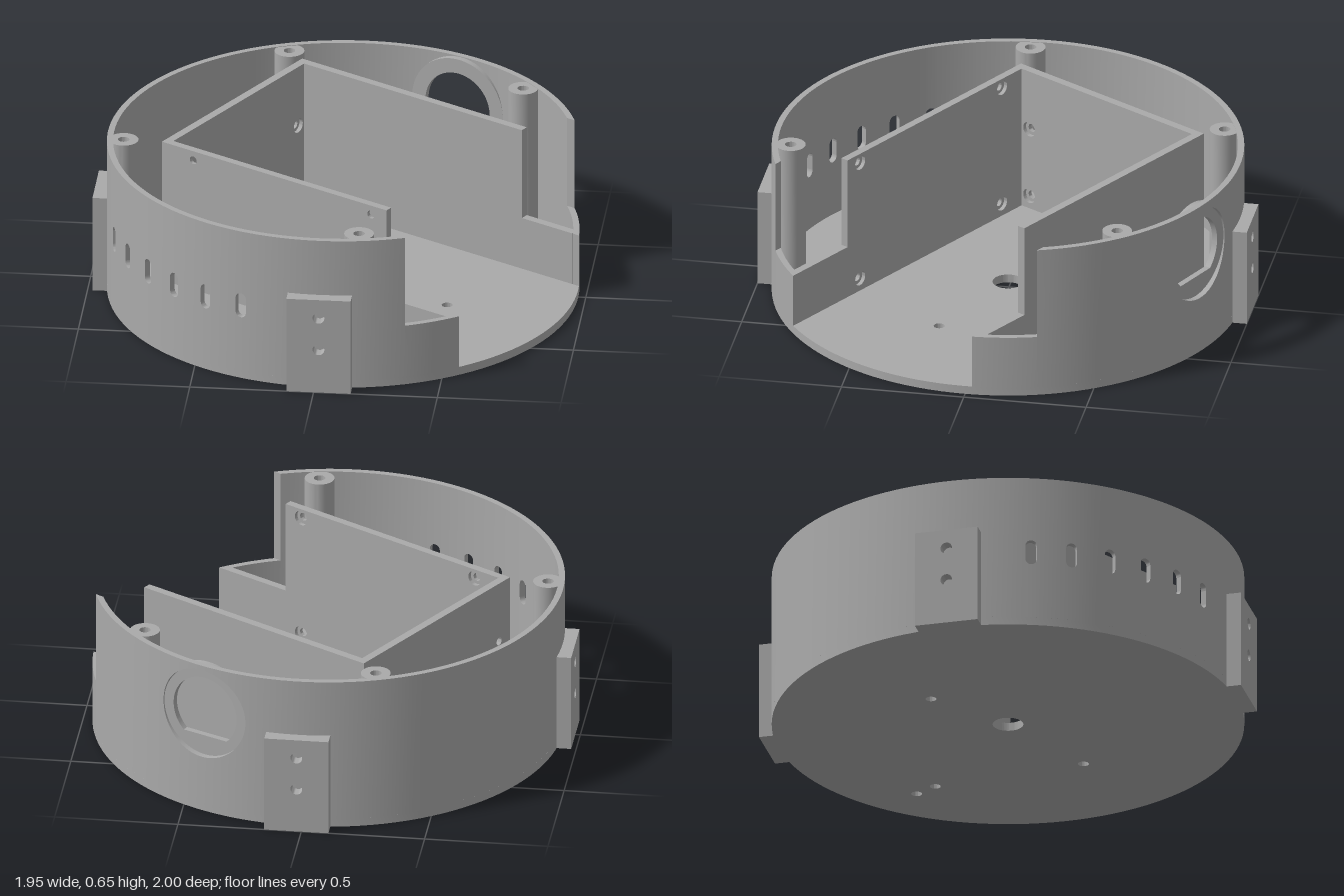
import * as THREE from 'three';
import { mergeGeometries, toCreasedNormals } from 'three/addons/utils/BufferGeometryUtils.js';

const R = 0.95, RI = 0.925, FLOOR = 0.035, STEP = 0.26, TOP = 0.65, CX = 0.02;
const grey = new THREE.MeshStandardMaterial({ color: 0xaaaaaa });
grey.name = 'grey plastic';
const rad = THREE.MathUtils.degToRad;

function add(parent, name, geometry) {
  const mesh = new THREE.Mesh(geometry, grey);
  mesh.name = name;
  parent.add(mesh);
  return mesh;
}

function circle(x, y, r) {
  const path = new THREE.Path();
  path.absarc(x, y, r, 0, Math.PI * 2, true);
  return path;
}

// flat plate in XY, thickness along +z, with round holes [x, y, r]
function plate(shape, z, depth, holes = [], curveSegments = 20) {
  holes.forEach(([x, y, r]) => shape.holes.push(circle(x, y, r)));
  const geometry = new THREE.ExtrudeGeometry(shape, { depth, bevelEnabled: false, curveSegments });
  return toCreasedNormals(geometry.translate(0, 0, z), 0.6);
}

const outline = (pts) => new THREE.Shape(pts.map(([x, y]) => new THREE.Vector2(x, y)));
const rect = (x0, x1, y0, y1) => outline([[x0, y0], [x1, y0], [x1, y1], [x0, y1]]);

// curved wall between two angles; skew turns the inner ends so that cuts run straight
function arcWall(a0, a1, lo, hi, n, { skew0 = 0, skew1 = 0, ease = false } = {}) {
  const sections = [];
  for (let i = 0; i <= n; i++) {
    const t = ease ? (1 - Math.cos(Math.PI * i / n)) / 2 : i / n;
    const a = a0 + (a1 - a0) * t, b = a + skew0 + (skew1 - skew0) * t;
    const inner = (y) => [RI * Math.cos(b), y, RI * Math.sin(b)];
    const outer = (y) => [R * Math.cos(a), y, R * Math.sin(a)];
    sections.push([inner(lo(a)), outer(lo(a)), outer(hi(a)), inner(hi(a))]);
  }
  const p = [];
  for (let k = 0; k < n; k++) {
    const A = sections[k], B = sections[k + 1];
    for (let i = 0; i < 4; i++) {
      const j = (i + 1) % 4;
      p.push(...A[i], ...A[j], ...B[i], ...A[j], ...B[j], ...B[i]);
    }
  }
  const S = sections[0], E = sections[n];
  p.push(...S[0], ...S[2], ...S[1], ...S[0], ...S[3], ...S[2]);
  p.push(...E[0], ...E[1], ...E[2], ...E[0], ...E[2], ...E[3]);
  const geometry = new THREE.BufferGeometry();
  geometry.setAttribute('position', new THREE.Float32BufferAttribute(p, 3));
  return geometry;
}

// angle of a straight cut at sideways distance z, and its inner-end skew
const cutAngle = (z) => Math.asin(z / R);
const cutSkew = (z) => Math.asin(z / RI) - Math.asin(z / R);

function rimGeometry() {
  const bottom = () => FLOOR, top = () => TOP, step = () => STEP;
  const parts = [];
  // low ends beside the mouth
  for (const [z0, z1] of [[0.40, 0.60], [-0.70, -0.50]]) {
    parts.push(arcWall(cutAngle(z0), cutAngle(z1), bottom, step, 10,
      { skew0: cutSkew(z0), skew1: cutSkew(z1) }));
  }
  // tall wall, interrupted by six vent slots and the round window
  const openings = [80, 90, 100, 110, 120, 130].map((d) => ({ mid: rad(d), y: 0.322, w: 0.023, h: 0.053, n: 10 }));
  openings.push({ mid: rad(265), y: 0.435, w: 0.195, h: 0.195, n: 36 });
  let from = cutAngle(0.60), skew0 = cutSkew(0.60);
  const solid = (to, skew1) => {
    const n = Math.max(2, Math.ceil((to - from) / rad(3)));
    parts.push(arcWall(from, to, bottom, top, n, { skew0, skew1 }));
  };
  for (const { mid, y, w, h, n } of openings) {
    const half = Math.asin(w / R);
    solid(mid - half, 0);
    const reach = (a) => h - w + Math.sqrt(Math.max(0, w * w - (R * Math.sin(a - mid)) ** 2));
    parts.push(arcWall(mid - half, mid + half, bottom, (a) => y - reach(a), n, { ease: true }));
    parts.push(arcWall(mid - half, mid + half, (a) => y + reach(a), top, n, { ease: true }));
    from = mid + half;
    skew0 = 0;
  }
  solid(Math.PI * 2 + cutAngle(-0.70), cutSkew(-0.70));
  return toCreasedNormals(mergeGeometries(parts), 0.6);
}

export function createModel() {
  const model = new THREE.Group();
  model.name = 'roundEnclosure';

  // floor disc with drilled holes
  const disc = new THREE.Shape();
  disc.absarc(CX, 0, R, 0, Math.PI * 2, false);
  const drilled = [[CX, 0, 0.062], [-0.29, 0.24, 0.022], [0.46, -0.2, 0.022], [0.52, 0.43, 0.022], [0.57, 0.52, 0.022]];
  add(model, 'floor', plate(disc, 0, FLOOR, drilled, 60).rotateX(-Math.PI / 2));

  // everything else follows the tray, turned 30 degrees
  const body = new THREE.Group();
  body.name = 'body';
  body.position.x = CX;
  body.rotation.y = -Math.PI / 6;
  model.add(body);

  add(body, 'rim', rimGeometry());

  // tray side walls, lowered near the mouth
  const sideShape = (end) => outline([[-0.587, FLOOR], [end, FLOOR], [end, STEP], [0.525, STEP], [0.525, TOP], [-0.587, TOP]]);
  add(body, 'traySidePlain', plate(sideShape(0.775), -0.534, 0.034));
  const sideHoles = (r) => [-0.432, 0.447].flatMap((x) => [0.09, 0.61].map((y) => [x, y, r]));
  add(body, 'traySideInnerLayer', plate(sideShape(0.835), 0.40, 0.016, sideHoles(0.031)));
  add(body, 'traySideOuterLayer', plate(sideShape(0.835), 0.416, 0.016, sideHoles(0.017)));

  // tray end wall with counterbored screw holes
  const endHoles = (r) => [-0.36, 0.46].flatMap((x) => [0.09, 0.39].map((y) => [x, y, r]));
  const endShape = () => rect(-0.40, 0.50, FLOOR, TOP);
  add(body, 'trayEndOuterLayer', plate(endShape(), -0.587, 0.017, endHoles(0.017)).rotateY(Math.PI / 2));
  add(body, 'trayEndInnerLayer', plate(endShape(), -0.570, 0.017, endHoles(0.031)).rotateY(Math.PI / 2));

  // parts facing outwards at a given angle
  const facing = (name, degrees, geometry) => {
    add(body, name, geometry).rotation.y = Math.PI / 2 - rad(degrees);
  };

  // window plate with a flat-bottomed opening
  const pad = new THREE.Shape();
  pad.absarc(0, 0.435, 0.212, 0, Math.PI * 2, false);
  const opening = new THREE.Path();
  const flat = Math.asin(0.11 / 0.15);
  opening.absarc(0, 0.435, 0.15, -flat, Math.PI + flat, false);
  opening.closePath();
  pad.holes.push(opening);
  facing('windowPlate', 265, plate(pad, 0.90, 0.025, [], 40));

  // three mounting tabs
  [['frontTab', 60], ['backTab', 240], ['rightTab', 150]].forEach(([name, degrees]) => {
    facing(name, degrees, plate(rect(-0.13, 0.13, 0, 0.41), 0.93, 0.07, [[0, 0.19, 0.024], [0, 0.33, 0.024]]));
  });

  // screw posts
  for (const [x, z] of [[-0.28, -0.83], [0.69, -0.57], [-0.86, 0.07], [0.17, 0.86]]) {
    const ring = new THREE.Shape();
    ring.absarc(x, -z, 0.06, 0, Math.PI * 2, false);
    add(model, 'screwPost', plate(ring, FLOOR, TOP - FLOOR - 0.002, [[x, -z, 0.023]]).rotateX(-Math.PI / 2));
  }

  // small block on the floor
  add(body, 'floorBlock', new THREE.BoxGeometry(0.065, 0.03, 0.11)).position.set(-0.076, FLOOR + 0.015, -0.672);

  return model;
}
